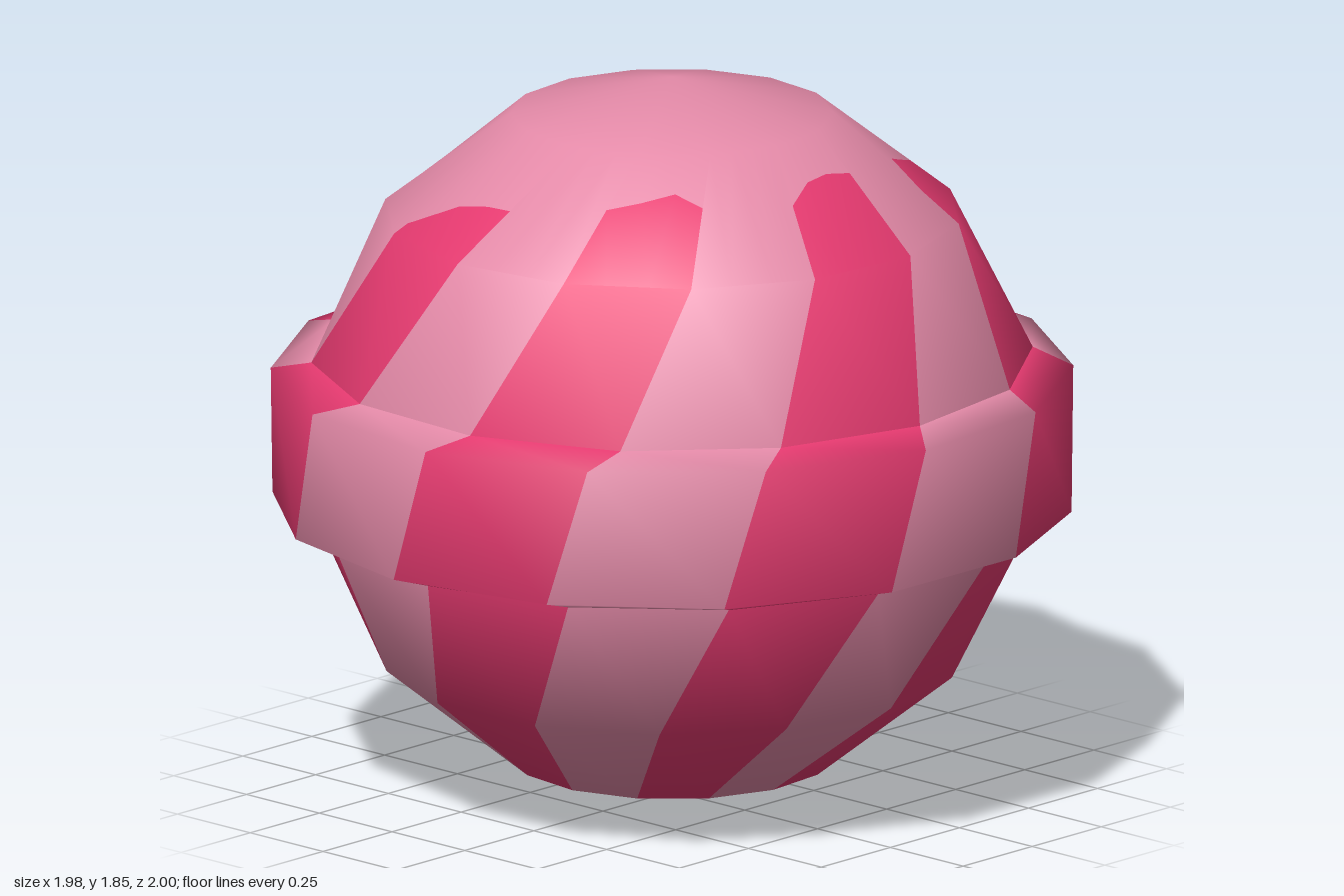
import * as THREE from 'three';
import { mergeVertices } from 'three/addons/utils/BufferGeometryUtils.js';

const SIDES = 14, STEP = 360 / SIDES, START = -99.6;
const R = 0.925; // ball radius, also its centre height

// Ring of the twisted ball: polar step n (0 = top pole), twist in degrees
const ballRing = (n, twist) => ({
  r: R * Math.sin(n * Math.PI / 7),
  y: R + R * Math.cos(n * Math.PI / 7),
  twist,
});

// Point on a ring; k is the (possibly fractional) side number
function ringPoint(ring, k) {
  const a = THREE.MathUtils.degToRad(START + ring.twist + k * STEP);
  return new THREE.Vector3(ring.r * Math.cos(a), ring.y, ring.r * Math.sin(a));
}

// Upper ends of the seven stripes: height fraction across the stripe's width
const stripeEnds = [
  [0, 0, 0, 0],
  [0.3, 0.4, 0.5, 0.3],
  [0.66, 0.7, 0.68, 0.55],
  [0.6, 0.7, 0.63, 0.57],
  [0.45, 0.42, 0.35, 0.1],
  [0, 0, 0, 0],
  [0, 0, 0, 0],
];

// Collects triangles in two colours and turns them into one two-colour mesh
class StripedShell {
  constructor() { this.faces = [[], []]; }

  tri(colour, a, b, c) {
    if (a.distanceTo(b) < 1e-5 || b.distanceTo(c) < 1e-5 || c.distanceTo(a) < 1e-5) return;
    for (const p of [a, b, c]) this.faces[colour].push(p.x, p.y, p.z);
  }

  quad(colour, a, b, c, d) {
    this.tri(colour, a, b, d);
    this.tri(colour, b, c, d);
  }

  // Row of alternately coloured panels between two rings
  row(upper, lower, striped = true) {
    for (let k = 0; k < SIDES; k++) {
      this.quad(striped && k % 2 === 0 ? 1 : 0,
        ringPoint(upper, k), ringPoint(upper, k + 1),
        ringPoint(lower, k + 1), ringPoint(lower, k));
    }
  }

  // Row in which the stripes run out unevenly
  fadingRow(upper, lower) {
    for (let k = 0; k < SIDES; k++) {
      const ends = k % 2 === 0 ? stripeEnds[k / 2] : [0, 0, 0, 0];
      for (let i = 0; i < 3; i++) {
        const u0 = k + i / 3, u1 = k + (i + 1) / 3;
        const edge = (ring, u) => ringPoint(ring, k).lerp(ringPoint(ring, k + 1), u - k);
        const top0 = edge(upper, u0), top1 = edge(upper, u1);
        const low0 = edge(lower, u0), low1 = edge(lower, u1);
        const mid0 = low0.clone().lerp(top0, ends[i]);
        const mid1 = low1.clone().lerp(top1, ends[i + 1]);
        this.quad(0, top0, top1, mid1, mid0);
        this.quad(1, mid0, mid1, low1, low0);
      }
    }
  }

  build(name, materials, round) {
    const [first, second] = this.faces;
    const raw = new THREE.BufferGeometry();
    raw.setAttribute('position', new THREE.Float32BufferAttribute(first.concat(second), 3));
    raw.addGroup(0, first.length / 3, 0);
    raw.addGroup(first.length / 3, second.length / 3, 1);
    const geo = mergeVertices(raw, 1e-4);
    geo.computeVertexNormals();
    if (round) { // ball normals point away from the centre
      const pos = geo.attributes.position, v = new THREE.Vector3();
      for (let i = 0; i < pos.count; i++) {
        v.fromBufferAttribute(pos, i);
        v.y -= R;
        v.normalize();
        geo.attributes.normal.setXYZ(i, v.x, v.y, v.z);
      }
    }
    const mesh = new THREE.Mesh(geo, materials);
    mesh.name = name;
    return mesh;
  }
}

export function createModel() {
  const pink = new THREE.MeshStandardMaterial({ color: 0xe48aa8 });
  pink.name = 'candy pink';
  const berry = new THREE.MeshStandardMaterial({ color: 0xe63a70 });
  berry.name = 'berry red';
  const materials = [pink, berry];

  const twists = [-22, -22, -12, 0, 8.5, 20, 30, 30];
  const rings = twists.map((t, n) => ballRing(n, t));

  // Plain crown with stripes running up from the band
  const upper = new StripedShell();
  upper.row(rings[0], rings[1], false);
  upper.fadingRow(rings[1], rings[2]);
  upper.row(rings[2], rings[3]);

  // Raised belt with bevelled rims
  const band = new StripedShell();
  const bandTop = { r: 1, y: 1.1, twist: 4 };
  const bandBottom = { r: 1, y: 0.75, twist: 10 };
  band.row(rings[3], bandTop);
  band.row(bandTop, bandBottom);
  band.row(bandBottom, rings[4]);

  // Lower half, stripes meeting at the bottom point
  const lower = new StripedShell();
  for (let n = 4; n < 7; n++) lower.row(rings[n], rings[n + 1]);

  const group = new THREE.Group();
  group.name = 'stripedCandy';
  group.add(
    upper.build('upperDome', materials, true),
    band.build('middleBand', materials, false),
    lower.build('lowerDome', materials, true),
  );
  return group;
}
